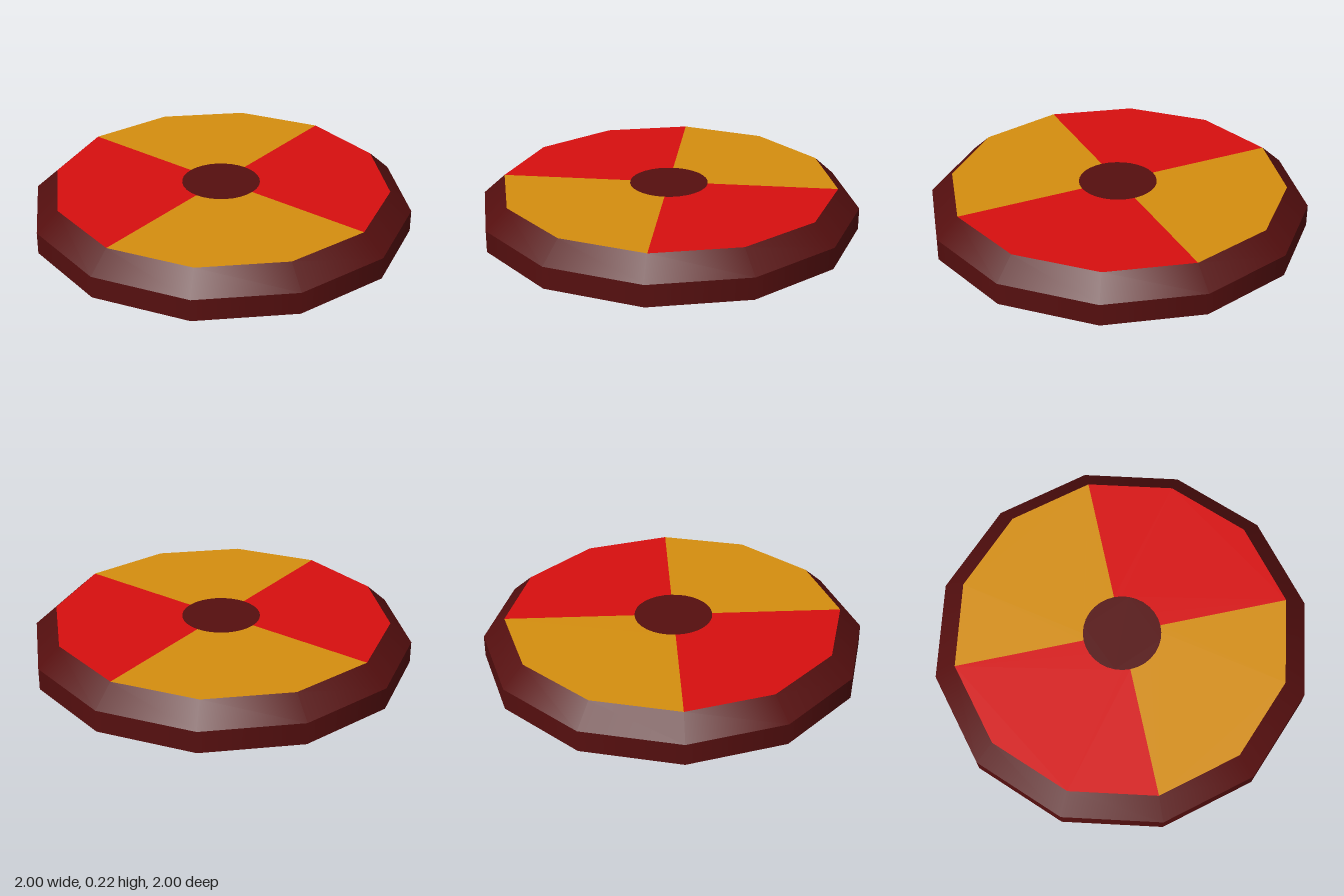
import * as THREE from 'three';

const SIDES = 12, TOP = 0.22, EDGE = 0.115, INNER = 0.885, HUB = 0.205;

const mat = (name, color, side = THREE.FrontSide) => {
  const m = new THREE.MeshStandardMaterial({ color, side });
  m.name = name;
  return m;
};

// points along an arc, from angle a to angle b
const arc = (r, a, b, n) => Array.from({ length: n + 1 }, (_, i) => {
  const t = a + (b - a) * i / n;
  return new THREE.Vector2(r * Math.cos(t), r * Math.sin(t));
});

export function createModel() {
  const group = new THREE.Group();
  const maroon = mat('maroon', 0x560f0f);
  const red = mat('red', 0xd80f0f);
  const amber = mat('amber', 0xd68f0f);

  const add = (name, geometry, material) => {
    const mesh = new THREE.Mesh(geometry, material);
    mesh.name = name;
    group.add(mesh);
    return mesh;
  };

  // a flat shape laid on the top (facing up) or on the bottom (facing down)
  const lay = (name, shape, material, up) => {
    const g = new THREE.ShapeGeometry(shape);
    g.rotateX(up ? -Math.PI / 2 : Math.PI / 2);
    add(name, g, material).position.y = up ? TOP : 0;
  };

  // twelve-sided wall and bevel, rounded across but sharp between each other
  const band = (name, r0, y0, r1, y1) => add(name, new THREE.LatheGeometry(
    [new THREE.Vector2(r0, y0), new THREE.Vector2(r1, y1)], SIDES), maroon);
  band('outerWall', 1, 0, 1, EDGE);
  band('bevel', 1, EDGE, INNER, TOP);

  // four coloured quarters and a round hub on each face
  for (const up of [true, false]) {
    const label = up ? 'top' : 'bottom';
    for (let q = 0; q < 4; q++) {
      const a = q * Math.PI / 2, b = a + Math.PI / 2;
      const shape = new THREE.Shape([
        ...arc(INNER, a, b, up ? SIDES / 4 : 12),
        ...arc(HUB, b, a, 8),
      ]);
      lay(label + 'Quarter' + (q + 1), shape, (q % 2 === 0) === up ? amber : red, up);
    }
    lay(label + 'Hub', new THREE.Shape(arc(HUB, 0, Math.PI * 2, 32).slice(0, -1)), maroon, up);
  }

  // plain border around the underside
  const border = new THREE.Shape(arc(1, 0, Math.PI * 2, SIDES).slice(0, -1));
  border.holes.push(new THREE.Path(arc(INNER, 0, Math.PI * 2, 48).slice(0, -1)));
  lay('bottomBorder', border, maroon, false);

  return group;
}
